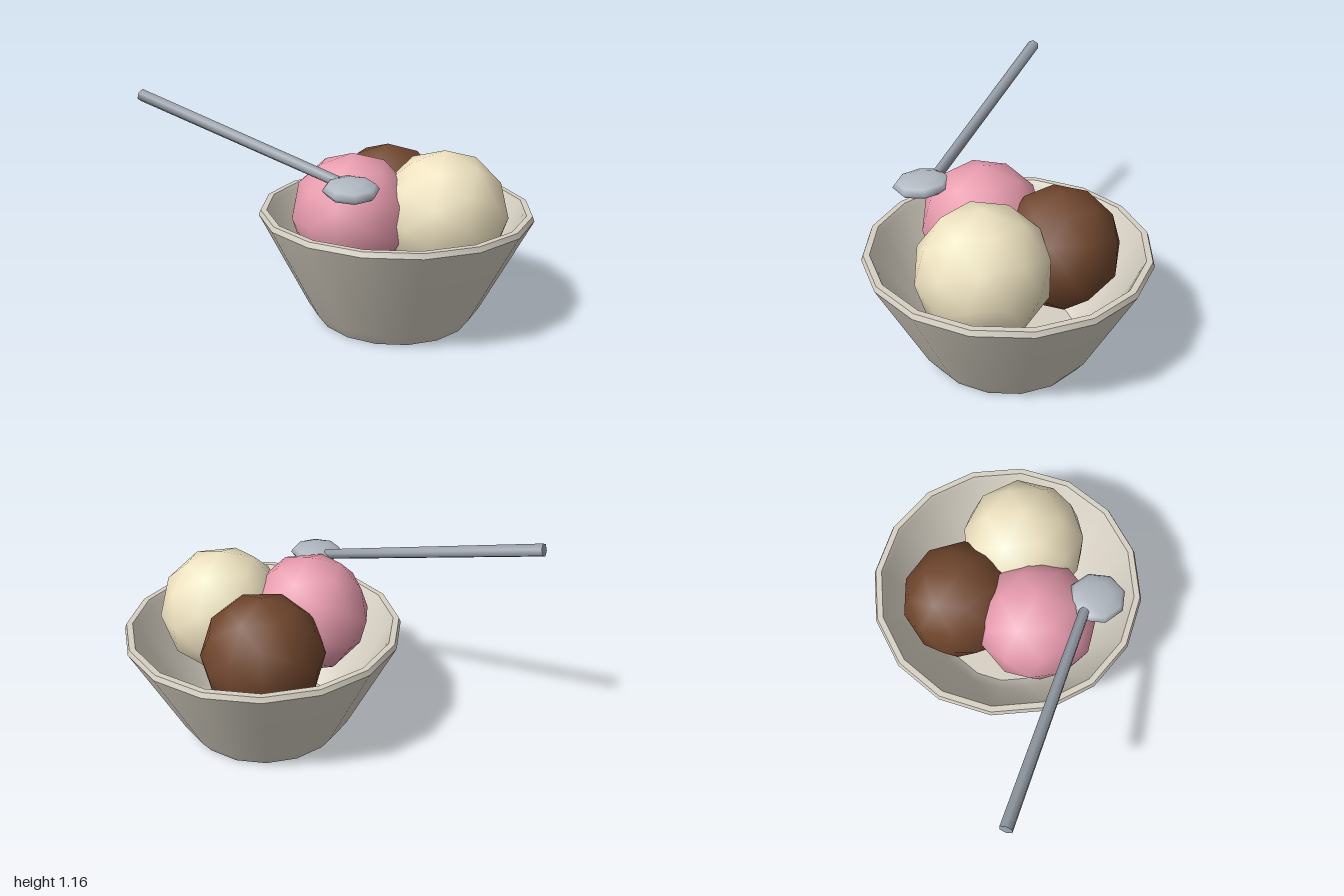
import * as THREE from 'three';
import { mergeVertices, toCreasedNormals } from 'three/addons/utils/BufferGeometryUtils.js';

const BOWL_X = 0.29;

function part(name, geometry, color, parent) {
  const mesh = new THREE.Mesh(geometry, new THREE.MeshStandardMaterial({ color }));
  mesh.name = name;
  parent.add(mesh);
  return mesh;
}

// Smooth-shaded low-poly ball with shared vertices
function ballGeometry(radius) {
  const geometry = new THREE.IcosahedronGeometry(radius, 1);
  geometry.deleteAttribute('normal');
  geometry.deleteAttribute('uv');
  const merged = mergeVertices(geometry, 1e-4);
  merged.computeVertexNormals();
  return merged;
}

export function createModel() {
  const model = new THREE.Group();
  model.name = 'iceCreamBowl';

  // Bowl: outer wall, bevelled rim, inner wall and floor
  const profile = [
    [0, 0], [0.4, 0], [0.45, 0.07], [0.7, 0.57], [0.69, 0.595],
    [0.66, 0.595], [0.645, 0.57], [0.42, 0.11], [0.36, 0.06], [0, 0.06],
  ].map(([r, y]) => new THREE.Vector2(r, y));
  const bowl = part('bowl', toCreasedNormals(new THREE.LatheGeometry(profile, 16), 0.6), 0xd6d0c3, model);
  bowl.position.x = BOWL_X;

  // Three scoops resting in the bowl
  const scoops = [
    ['strawberryScoop', 0xe79bad, 0.31, [0.055, 0.59, 0.09], 0.15],
    ['vanillaScoop', 0xeee2c0, 0.325, [0.5, 0.59, 0.15], 0.2],
    ['chocolateScoop', 0x70462d, 0.305, [BOWL_X, 0.55, -0.25], 0],
  ];
  for (const [name, color, radius, position, turn] of scoops) {
    const scoop = part(name, ballGeometry(radius), color, model);
    scoop.position.set(...position);
    scoop.rotation.y = turn;
  }

  // Spoon: flattened head and a six-sided handle rising to the back right
  const spoon = new THREE.Group();
  spoon.name = 'spoon';
  model.add(spoon);

  const head = part('spoonHead', new THREE.SphereGeometry(1, 8, 6), 0xb0b7c0, spoon);
  head.scale.set(0.135, 0.045, 0.147);
  head.position.set(0.007, 0.803, 0.38);
  head.rotation.x = 0.08;

  const tip = new THREE.Vector3(-0.045, 0.82, 0.3);
  const end = new THREE.Vector3(-0.985, 1.125, -0.357);
  const axis = end.clone().sub(tip);
  const rod = new THREE.CylinderGeometry(0.032, 0.028, axis.length(), 6);
  const handle = part('spoonHandle', toCreasedNormals(rod, 1.1), 0x979ea8, spoon);
  handle.position.copy(tip).add(end).multiplyScalar(0.5);
  handle.quaternion.setFromUnitVectors(new THREE.Vector3(0, 1, 0), axis.normalize());

  return model;
}
